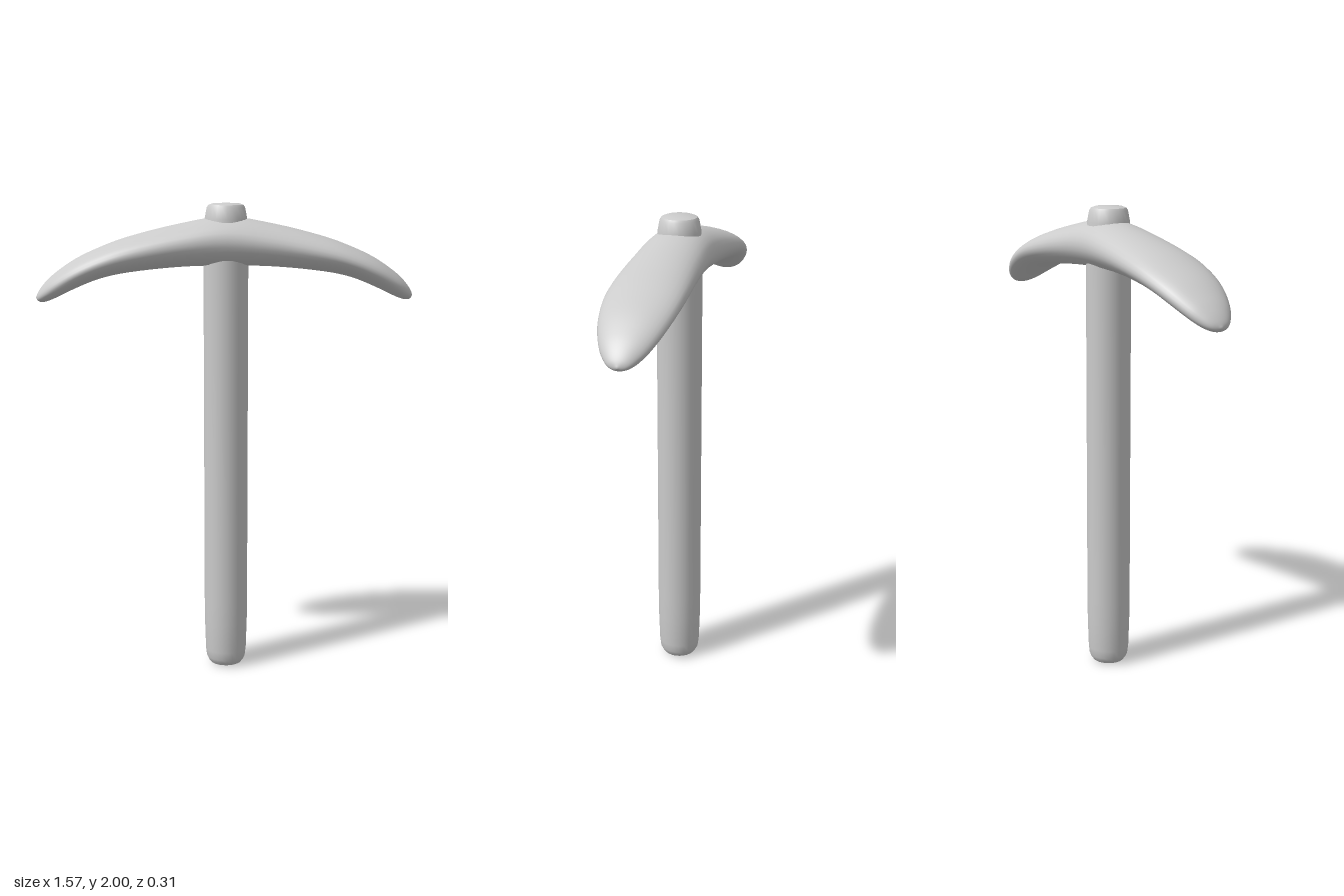
import * as THREE from 'three';
import { mergeVertices, toCreasedNormals } from 'three/addons/utils/BufferGeometryUtils.js';

// Curved pick head: rounded cross-sections lofted along x
function headGeometry() {
  // x, top y, bottom y, half width in z
  const half = [
    [0, 1.945, 1.745, 0.14], [0.2, 1.915, 1.74, 0.146], [0.4, 1.865, 1.72, 0.154],
    [0.52, 1.822, 1.695, 0.148], [0.62, 1.775, 1.656, 0.129], [0.7, 1.721, 1.618, 0.098],
    [0.745, 1.68, 1.601, 0.068], [0.772, 1.645, 1.602, 0.038], [0.785, 1.617, 1.617, 0],
  ];
  const mirrored = half.slice(1).reverse().map(([x, ...rest]) => [-x, ...rest]);
  const keys = [...mirrored, ...half];
  const edges = new THREE.CatmullRomCurve3(keys.map(k => new THREE.Vector3(k[0], k[1], k[2])), false, 'catmullrom');
  const widths = new THREE.SplineCurve(keys.map(k => new THREE.Vector2(k[0], k[3])));
  const rows = 64, ring = 32, positions = [], index = [];
  for (let i = 0; i <= rows; i++) {
    const e = edges.getPoint(i / rows);
    const w = Math.max(0, widths.getPoint(i / rows).y);
    const mid = (e.y + e.z) / 2, h = Math.max(0, (e.y - e.z) / 2);
    for (let j = 0; j < ring; j++) {
      const a = j / ring * Math.PI * 2;
      positions.push(e.x, mid + h * Math.cos(a), w * Math.sin(a));
      if (i === rows) continue;
      const p = i * ring + j, q = i * ring + (j + 1) % ring;
      index.push(p, q, p + ring, q, q + ring, p + ring);
    }
  }
  let geometry = new THREE.BufferGeometry();
  geometry.setAttribute('position', new THREE.Float32BufferAttribute(positions, 3));
  geometry.setIndex(index);
  geometry = mergeVertices(geometry, 1e-5);
  geometry.computeVertexNormals();
  return geometry;
}

export function createModel() {
  const group = new THREE.Group();
  const material = new THREE.MeshStandardMaterial({ color: 0xcccccc });
  const add = (name, geometry) => {
    const mesh = new THREE.Mesh(geometry, material);
    mesh.name = name;
    group.add(mesh);
  };
  const turned = points => toCreasedNormals(
    new THREE.LatheGeometry(points.map(([r, y]) => new THREE.Vector2(r, y)), 24), 0.6);

  // Straight shaft with a tapered, bevelled foot
  add('handle', turned([[0, 0], [0.068, 0.008], [0.077, 0.02], [0.084, 0.035],
    [0.088, 0.07], [0.092, 0.2], [0.093, 0.3], [0.093, 1.85], [0, 1.85]]));

  // Shaft end showing above the head
  add('handleTop', turned([[0.089, 1.85], [0.088, 1.935], [0.079, 1.982],
    [0.072, 1.992], [0.055, 1.998], [0, 2]]));

  add('pickHead', headGeometry());
  return group;
}
